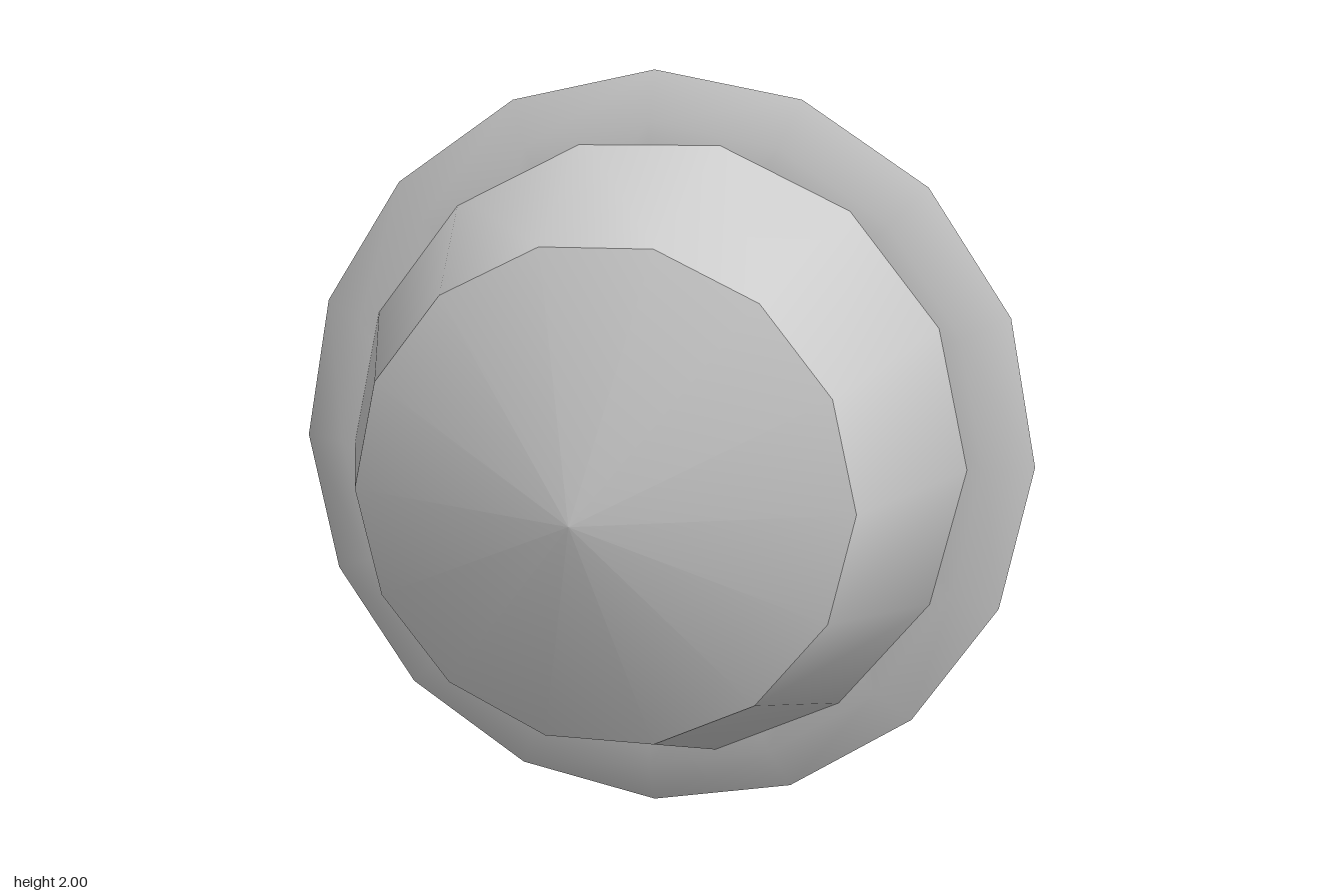
import * as THREE from 'three';
import { toCreasedNormals } from 'three/addons/utils/BufferGeometryUtils.js';

const CREASE = THREE.MathUtils.degToRad(40);

export function createModel() {
  const group = new THREE.Group();
  const grey = new THREE.MeshStandardMaterial({ color: 0xcccccc });
  grey.name = 'grey';

  const add = (name, geometry) => {
    const mesh = new THREE.Mesh(toCreasedNormals(geometry, CREASE), grey);
    mesh.name = name;
    mesh.position.y = 1;
    group.add(mesh);
  };

  // Faceted globe with its poles facing front and back
  add('globe', new THREE.SphereGeometry(0.86, 14, 4).rotateX(Math.PI / 2));

  // Flat, bevelled ring around the globe's middle
  add('ring', new THREE.TorusGeometry(0.74, 0.26, 6, 16).scale(1, 1, 0.31));

  return group;
}
